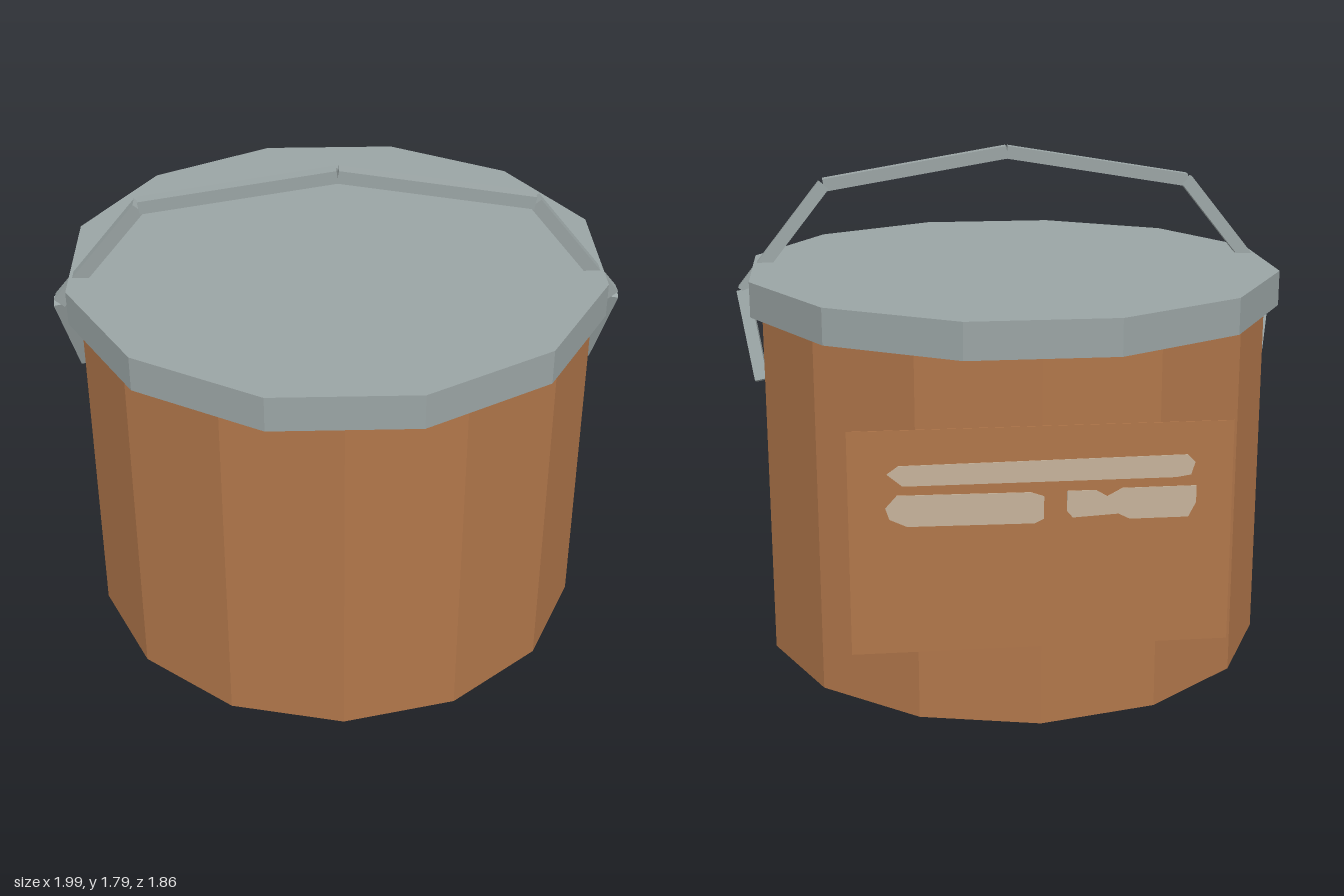
import * as THREE from 'three';

const flat = (name, color) => new THREE.MeshStandardMaterial({ name, color, flatShading: true });

export function createModel() {
  const model = new THREE.Group();
  model.name = 'bucket';
  const brown = flat('brown', 0xb0764a);
  const grey = flat('grey', 0x9aa4a4);
  const pale = flat('pale', 0xc6b29a);

  const add = (name, geometry, material) => {
    const mesh = new THREE.Mesh(geometry, material);
    mesh.name = name;
    model.add(mesh);
    return mesh;
  };
  const drum = (name, radius, y0, y1, sides, material, turn = 0) => {
    const g = new THREE.CylinderGeometry(radius, radius, y1 - y0, sides, 1, false, turn);
    return add(name, g.translate(0, (y0 + y1) / 2, 0), material);
  };

  // Tub, base and lid
  drum('base', 0.877, 0, 0.012, 14, grey);
  drum('body', 0.914, 0.01, 1.262, 14, brown);
  drum('lid', 0.963, 1.26, 1.384, 12, grey, Math.PI / 12);

  // Bail handle: square bars from hinge to apex, mirrored
  const size = 0.046;
  const path = [[0.913, 0.97, 0.0], [0.972, 1.28, 0.115], [0.67, 1.658, 0.148], [0, 1.768, 0.158]];
  for (const side of [1, -1]) {
    for (let i = 0; i < path.length - 1; i++) {
      const a = new THREE.Vector3(...path[i]);
      const b = new THREE.Vector3(...path[i + 1]);
      a.x *= side;
      b.x *= side;
      const along = b.clone().sub(a);
      const length = along.length();
      along.normalize();
      const across = new THREE.Vector3(0, 0, 1).addScaledVector(along, -along.z).normalize();
      const out = along.clone().cross(across);
      const bar = add('handleBar', new THREE.BoxGeometry(size, length, size), grey);
      bar.quaternion.setFromRotationMatrix(new THREE.Matrix4().makeBasis(out, along, across));
      bar.position.copy(a).add(b).multiplyScalar(0.5);
    }
  }

  // Flat label panel on the back
  const width = 1.23, height = 0.75, top = 1.04, z = -0.916;
  add('labelPanel', new THREE.BoxGeometry(width, height, 0.003), brown).position.set(0, top - height / 2, z);

  // Pale patches, as fractions of the panel from its upper corner on +x
  const patches = [
    [[0.10, 0.19], [0.13, 0.155], [0.88, 0.145], [0.90, 0.18], [0.89, 0.235], [0.85, 0.245], [0.14, 0.245]],
    [[0.095, 0.34], [0.125, 0.285], [0.47, 0.29], [0.505, 0.31], [0.505, 0.41], [0.48, 0.43], [0.15, 0.425], [0.105, 0.39]],
    [[0.565, 0.29], [0.64, 0.29], [0.67, 0.32], [0.71, 0.285], [0.905, 0.285], [0.905, 0.36], [0.885, 0.425],
      [0.73, 0.425], [0.70, 0.40], [0.58, 0.41], [0.565, 0.38]],
  ];
  for (const points of patches) {
    const shape = new THREE.Shape(points.map(([s, t]) =>
      new THREE.Vector2(width * (0.5 - s), top - height * t)));
    const g = new THREE.ExtrudeGeometry(shape, { depth: 0.008, bevelEnabled: false });
    add('labelPatch', g.translate(0, 0, z - 0.004), pale);
  }
  return model;
}
